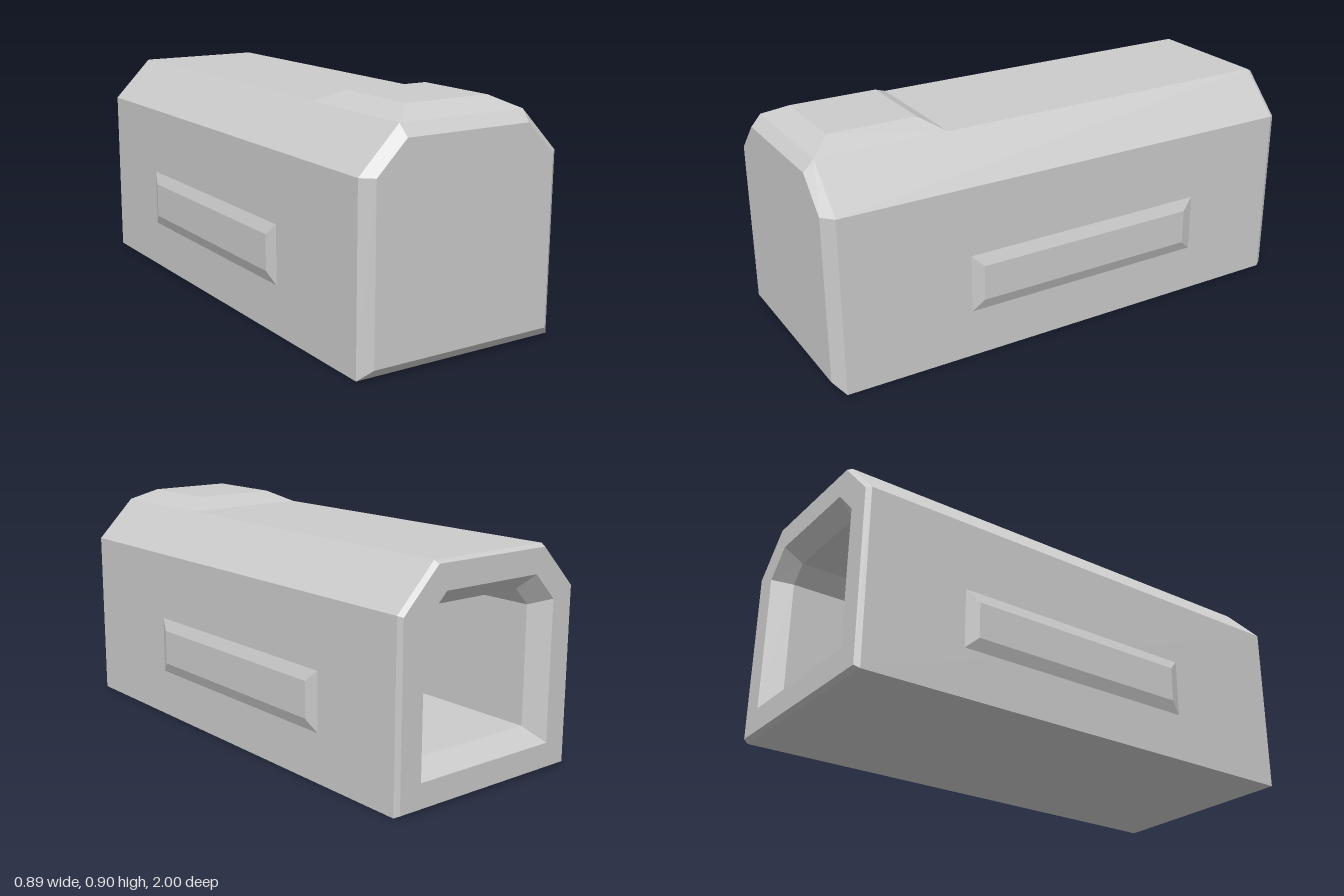
import * as THREE from 'three';

const material = new THREE.MeshStandardMaterial({ color: 0xcccccc, flatShading: true });

// Skins a chain of rings (counter-clockwise as seen from the first ring's outside)
function loft(name, rings, capEnd) {
  const pos = [];
  const tri = (a, b, c) => pos.push(...a, ...b, ...c);
  const n = rings[0].length;
  for (let r = 0; r < rings.length - 1; r++) {
    const a = rings[r], b = rings[r + 1];
    for (let i = 0; i < n; i++) {
      const j = (i + 1) % n;
      tri(a[i], b[i], b[j]);
      tri(a[i], b[j], a[j]);
    }
  }
  const first = rings[0], last = rings[rings.length - 1];
  for (let i = 1; i < n - 1; i++) {
    tri(first[0], first[i], first[i + 1]);
    if (capEnd) tri(last[0], last[i + 1], last[i]);
  }
  const geometry = new THREE.BufferGeometry();
  geometry.setAttribute('position', new THREE.Float32BufferAttribute(pos, 3));
  geometry.computeVertexNormals();
  const mesh = new THREE.Mesh(geometry, material);
  mesh.name = name;
  return mesh;
}

// Six-sided section: half width, shoulder height, half roof width, roof height, floor height
function section(z, w, shoulder, t, h, floor) {
  return [[w, floor], [w, shoulder], [t, h], [-t, h], [-w, shoulder], [-w, floor]]
    .map(([x, y]) => [x, y, z]);
}

// Body section moved inwards evenly by d
const inset = (z, d) =>
  section(z, 0.425 - d, 0.692 - 0.41 * d, 0.265 - 0.41 * d, 0.855 - d, d);

// Rectangle in (u, v), placed in space by a mapping
const rect = (u0, u1, v0, v1, place) =>
  [[u0, v0], [u1, v0], [u1, v1], [u0, v1]].map(([u, v]) => place(u, v));

export function createModel() {
  const group = new THREE.Group();
  group.name = 'hollowHousing';

  // Closed bevelled front, outer shell, back rim, then the recess running forward
  group.add(loft('body', [
    section(1, 0.38, 0.692, 0.26, 0.812, 0.042),
    inset(0.96, 0),
    inset(-0.98, 0),
    inset(-1, 0.011),
    inset(-1, 0.105),
    inset(-0.93, 0.165),
    inset(0.83, 0.165),
  ], true));

  // Raised block on the roof near the front
  group.add(loft('roofBlock', [
    rect(0.525, 0.875, -0.177, 0.177, (z, x) => [x, 0.9, z]),
    rect(0.445, 0.96, -0.265, 0.265, (z, x) => [x, 0.855, z]),
  ]));

  // Bevelled panel on each flank
  for (const side of [1, -1]) {
    const rings = [
      rect(0.235, 0.375, -0.53, 0.4, (y, z) => [side * 0.443, y, z]),
      rect(0.19, 0.42, -0.58, 0.445, (y, z) => [side * 0.425, y, z]),
    ];
    if (side < 0) rings.forEach((ring) => ring.reverse());
    group.add(loft(side > 0 ? 'leftPanel' : 'rightPanel', rings));
  }
  return group;
}
